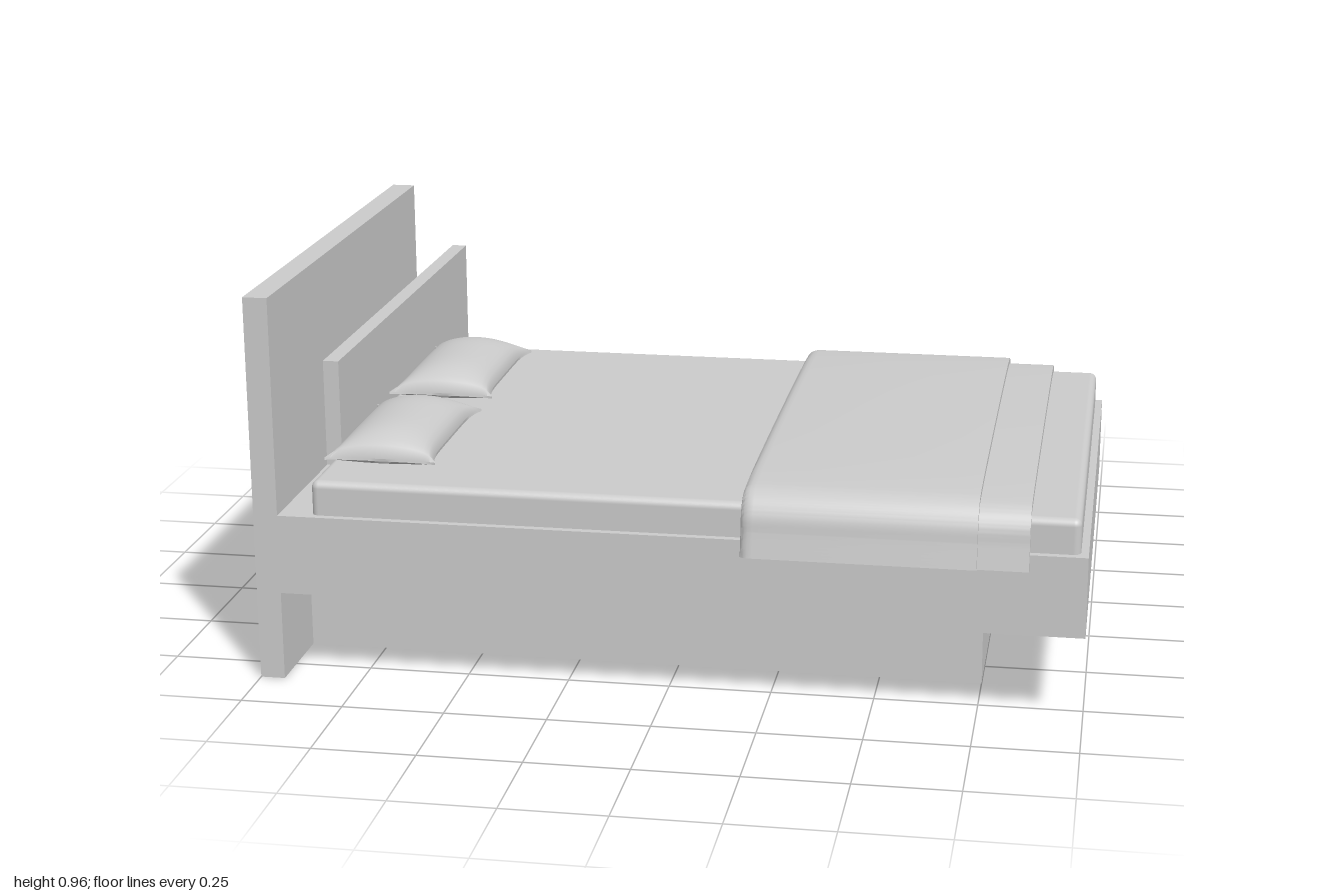
import * as THREE from 'three';
import { RoundedBoxGeometry } from 'three/addons/geometries/RoundedBoxGeometry.js';
import { toCreasedNormals } from 'three/addons/utils/BufferGeometryUtils.js';

const MID_Z = 0.188; // centre line of the bed
const material = new THREE.MeshStandardMaterial({ color: 0xcccccc });
const softMaterial = new THREE.MeshStandardMaterial({ color: 0xcccccc, side: THREE.DoubleSide });

function addMesh(group, name, geometry, mat = material) {
  const mesh = new THREE.Mesh(geometry, mat);
  mesh.name = name;
  group.add(mesh);
  return mesh;
}

// Box given by its minimum and maximum corners
function addBox(group, name, [x0, y0, z0], [x1, y1, z1], radius = 0) {
  const size = [x1 - x0, y1 - y0, z1 - z0];
  const geometry = radius
    ? new RoundedBoxGeometry(...size, 4, radius)
    : new THREE.BoxGeometry(...size);
  addMesh(group, name, geometry).position.set((x0 + x1) / 2, (y0 + y1) / 2, (z0 + z1) / 2);
}

// Cushion: a box whose surface swells from a thin rim with flared corners
function pillowGeometry(halfX, halfZ, up, down) {
  const geometry = new THREE.BoxGeometry(2, 2, 2, 20, 1, 28);
  const p = geometry.attributes.position;
  for (let i = 0; i < p.count; i++) {
    const u = p.getX(i), v = p.getZ(i), side = p.getY(i);
    const swell = Math.pow(Math.max(0, (1 - u * u) * (1 - v ** 4)), 0.55);
    const x = halfX * u * (1 - 0.13 * (1 - v ** 6));
    const z = halfZ * v * (1 - 0.04 * (1 - u ** 4));
    p.setXYZ(i, x, side * (0.003 + swell * (side > 0 ? up : down)), z);
  }
  return toCreasedNormals(geometry, 1);
}

// Folded blanket: a stepped section in (x, thickness) swept over the mattress
function blanketGeometry() {
  const half = [[0.655, 0.38], [0.643, 0.44], [0.637, 0.475], [0.62, 0.497], [0.58, 0.505]];
  const path = [...half, ...half.map(([z, y]) => [-z, y]).reverse()];
  const curve = new THREE.CatmullRomCurve3(path.map(([z, y]) => new THREE.Vector3(0, y, z)));
  const section = [[0.865, 0.004], [0.865, 0.025], [0.745, 0.025], [0.745, 0.04], [0.22, 0.04]];
  for (let k = 1; k <= 8; k++) {
    const a = Math.PI / 2 + (k / 8) * Math.PI;
    section.push([0.22 + 0.03 * Math.cos(a), 0.022 + 0.018 * Math.sin(a)]);
  }
  const steps = 72, n = section.length, positions = [], index = [];
  for (let i = 0; i <= steps; i++) {
    const c = curve.getPoint(i / steps), t = curve.getTangent(i / steps);
    for (const [x, offset] of section) {
      positions.push(x, c.y - t.z * offset, c.z + t.y * offset);
    }
  }
  for (let i = 0; i < steps; i++) {
    for (let j = 0; j < n; j++) {
      const a = i * n + j, b = i * n + ((j + 1) % n);
      index.push(a, b, a + n, b, b + n, a + n);
    }
  }
  // Hem faces at both ends of the sweep
  const caps = THREE.ShapeUtils.triangulateShape(section.map(([x, y]) => new THREE.Vector2(x, y)), []);
  const last = steps * n;
  for (const [a, b, c] of caps) index.push(a, c, b, last + a, last + b, last + c);
  const geometry = new THREE.BufferGeometry();
  geometry.setAttribute('position', new THREE.Float32BufferAttribute(positions, 3));
  geometry.setIndex(index);
  return toCreasedNormals(geometry, 0.7);
}

export function createModel() {
  const bed = new THREE.Group();
  bed.name = 'bed';

  // Two overlapping, offset headboard panels
  addBox(bed, 'headboardBack', [-1, 0, -0.47], [-0.94, 0.96, 0.847]);
  addBox(bed, 'headboardFront', [-0.94, 0, -0.878], [-0.9, 0.695, 0.435]);

  // Platform overhanging a recessed plinth
  addBox(bed, 'platform', [-0.94, 0.222, -0.47], [1, 0.42, 0.847]);
  addBox(bed, 'plinth', [-0.94, 0, -0.235], [0.75, 0.222, 0.612]);

  addBox(bed, 'mattress', [-0.86, 0.39, -0.453], [0.982, 0.505, 0.829], 0.018);

  // Pair of pillows
  const pillow = pillowGeometry(0.139, 0.234, 0.062, 0.022);
  for (const side of [-1, 1]) {
    const name = side > 0 ? 'pillowLeft' : 'pillowRight';
    addMesh(bed, name, pillow).position.set(-0.719, 0.527, MID_Z + side * 0.292);
  }

  addMesh(bed, 'blanket', blanketGeometry(), softMaterial).position.z = MID_Z;
  return bed;
}
